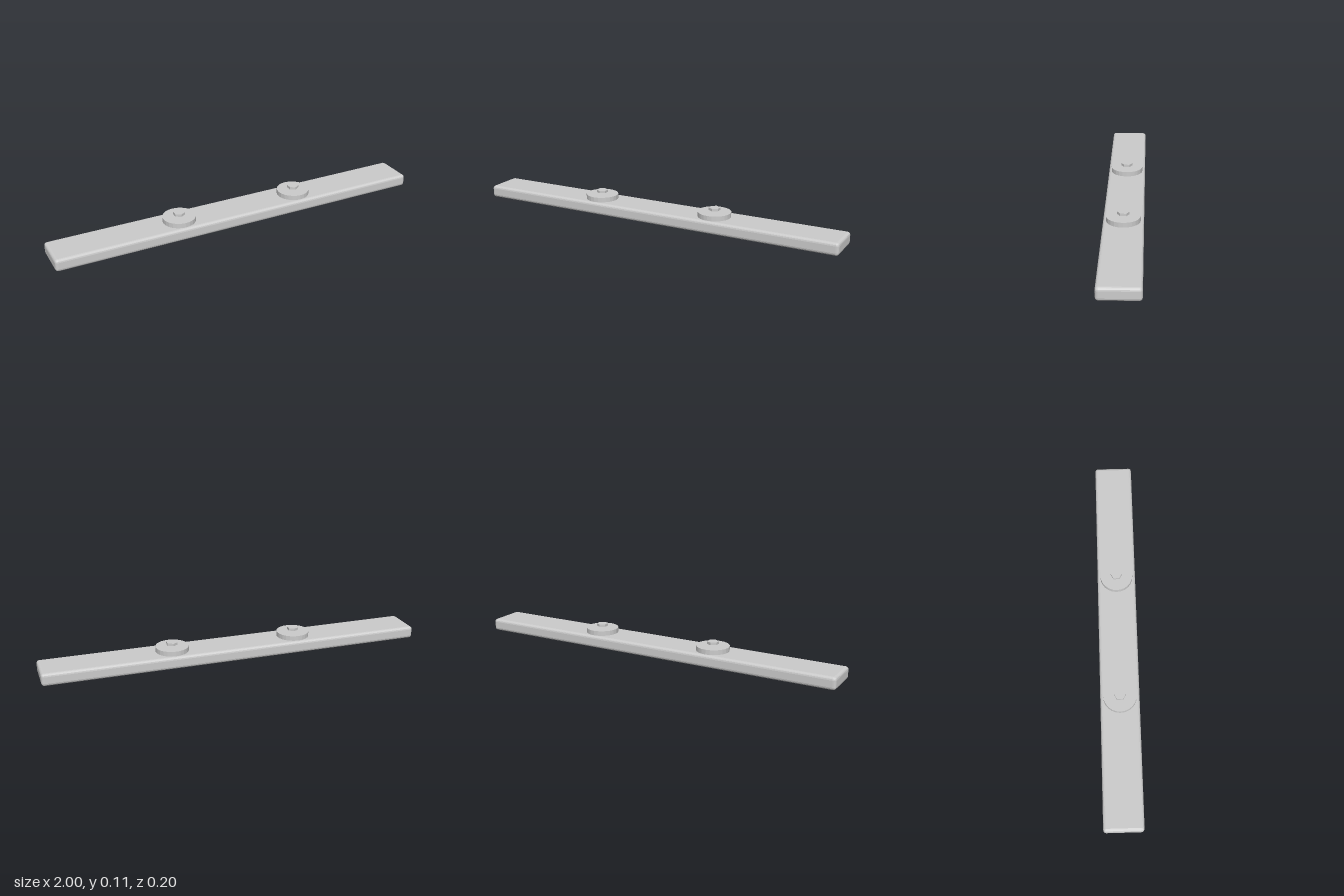
import * as THREE from 'three';
import { RoundedBoxGeometry } from 'three/addons/geometries/RoundedBoxGeometry.js';

export function createModel() {
  const model = new THREE.Group();
  model.name = 'mountingBar';
  const material = new THREE.MeshStandardMaterial({ color: 0xcccccc, flatShading: true });

  function add(parent, name, geometry, x, y) {
    const mesh = new THREE.Mesh(geometry, material);
    mesh.name = name;
    mesh.position.set(x, y, 0);
    parent.add(mesh);
  }

  // Long bar with softened edges
  add(model, 'bar', new RoundedBoxGeometry(2, 0.064, 0.2, 2, 0.015), 0, 0.032);

  // Two fasteners: a round washer with a small hexagonal head hovering above
  for (const side of [-1, 1]) {
    const fastener = new THREE.Group();
    fastener.name = side > 0 ? 'leftFastener' : 'rightFastener';
    fastener.position.x = side * 0.33;
    add(fastener, 'washer', new THREE.CylinderGeometry(0.085, 0.085, 0.025, 24), 0, 0.0765);
    add(fastener, 'hexHead', new THREE.CylinderGeometry(0.03, 0.03, 0.013, 6), 0, 0.1035);
    model.add(fastener);
  }
  return model;
}
